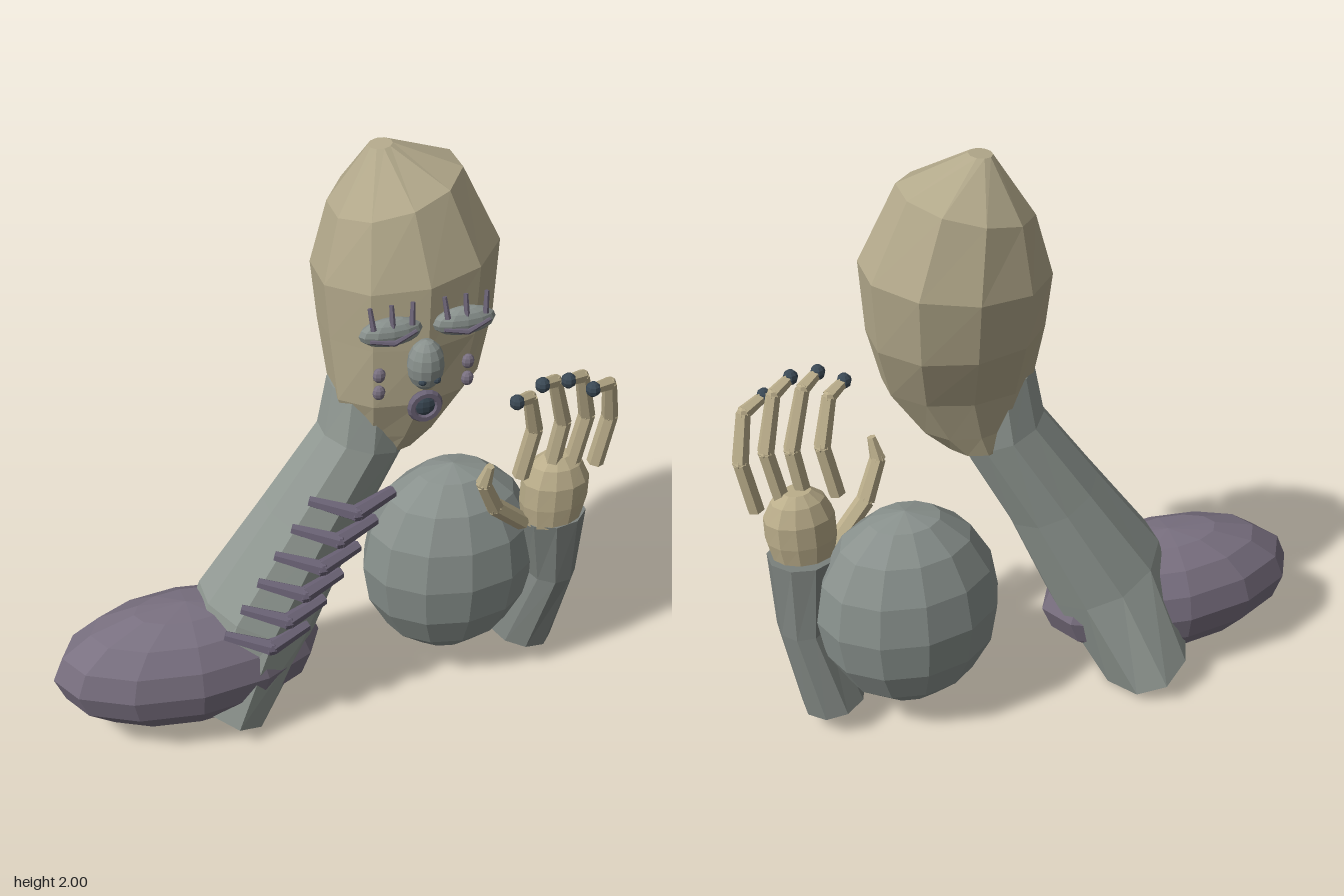
import * as THREE from 'three';
import { mergeGeometries } from 'three/addons/utils/BufferGeometryUtils.js';

const mat = (name, color) => {
  const m = new THREE.MeshStandardMaterial({ color });
  m.name = name;
  return m;
};

// Faceted normals for the low-poly look
function faceted(geo) {
  const g = geo.index ? geo.toNonIndexed() : geo;
  g.computeVertexNormals();
  return g;
}

// Skin over elliptical rings listed bottom to top: [x, y, z, rx, rz, roll]
function loft(rings, sides) {
  const pos = [], idx = [];
  for (const [x, y, z, rx, rz, roll] of rings) {
    for (let i = 0; i < sides; i++) {
      const a = ((i + 0.5) / sides) * Math.PI * 2, r = Math.cos(a) * rx;
      pos.push(x + r * Math.cos(roll), y + r * Math.sin(roll), z + Math.sin(a) * rz);
    }
  }
  for (let k = 0; k < rings.length - 1; k++) {
    for (let i = 0; i < sides; i++) {
      const j = (i + 1) % sides, b = k * sides, t = b + sides;
      idx.push(b + i, t + i, b + j, b + j, t + i, t + j);
    }
  }
  const top = (rings.length - 1) * sides;
  for (let i = 1; i < sides - 1; i++) {
    idx.push(0, i, i + 1, top, top + i + 1, top + i);
  }
  const g = new THREE.BufferGeometry();
  g.setAttribute('position', new THREE.Float32BufferAttribute(pos, 3));
  g.setIndex(idx);
  return faceted(g);
}

// Faceted ellipsoid
function blob([x, y, z], [rx, ry, rz], w = 12, h = 8) {
  return faceted(new THREE.SphereGeometry(1, w, h).scale(rx, ry, rz).translate(x, y, z));
}

// Jointed rod through points, one radius per point
function rod(points, radii, sides = 6) {
  const parts = [], up = new THREE.Vector3(0, 1, 0);
  const pts = points.map((p) => new THREE.Vector3(...p));
  for (let i = 0; i < pts.length - 1; i++) {
    const d = pts[i + 1].clone().sub(pts[i]);
    const g = new THREE.CylinderGeometry(radii[i + 1], radii[i], d.length(), sides);
    g.applyQuaternion(new THREE.Quaternion().setFromUnitVectors(up, d.normalize()));
    const c = pts[i].clone().lerp(pts[i + 1], 0.5);
    parts.push(faceted(g.translate(c.x, c.y, c.z)));
    if (i > 0) parts.push(blob(points[i], Array(3).fill(radii[i] * 0.97), 6, 4));
  }
  return mergeGeometries(parts);
}

export function createModel() {
  const root = new THREE.Group();
  root.name = 'figure';
  const skin = mat('sand skin', 0xb4aa8c);
  const handSkin = mat('hand sand', 0xbbae8b);
  const grey = mat('leg grey', 0x929a94);
  const ballGrey = mat('ball grey', 0x89918d);
  const armGrey = mat('arm grey', 0x7c827e);
  const purple = mat('dusky purple', 0x797080);
  const ribPurple = mat('rib purple', 0x6b6376);
  const dark = mat('dark slate', 0x3a4854);

  const add = (name, geo, material, parent = root) => {
    const m = new THREE.Mesh(geo, material);
    m.name = name;
    parent.add(m);
    return m;
  };
  const group = (name) => {
    const g = new THREE.Group();
    g.name = name;
    root.add(g);
    return g;
  };

  // Large masses
  add('head', loft([
    [0.175, 1.01, 0, 0.105, 0.105, 0],
    [0.2, 1.085, 0.01, 0.16, 0.125, 0],
    [0.23, 1.23, 0.02, 0.235, 0.165, 0.06],
    [0.243, 1.43, -0.015, 0.27, 0.22, 0.02],
    [0.243, 1.64, -0.03, 0.288, 0.24, 0.12],
    [0.21, 1.86, -0.04, 0.207, 0.185, 0.28],
    [0.165, 1.995, -0.04, 0.036, 0.036, 0.1],
  ], 10), skin);
  add('neckAndTrunk', loft([
    [-0.365, 0.082, -0.05, 0.167, 0.255, -0.52],
    [-0.24, 0.42, -0.01, 0.207, 0.195, -0.45],
    [-0.065, 0.75, 0, 0.163, 0.155, -0.45],
    [0.1, 1.04, 0.01, 0.143, 0.13, -0.3],
    [0.12, 1.24, 0.01, 0.128, 0.11, -0.05],
  ], 10), grey);
  add('foot', blob([-0.48, 0.27, 0], [0.443, 0.222, 0.222]), purple);
  add('belly', blob([0.43, 0.455, -0.04], [0.3, 0.365, 0.225]), ballGrey);

  // Chevron ribs down the front of the trunk
  const ribs = group('ribs');
  for (let i = 0; i < 6; i++) {
    const x = 0.025 - i * 0.056, y = 0.88 - i * 0.094;
    add('rib', rod([
      [x - 0.135, y + 0.038, 0.15], [x, y, 0.205], [x + 0.135, y + 0.017, 0.15],
    ], [0.017, 0.027, 0.02]), ribPurple, ribs);
  }

  // Face
  const face = group('face');
  for (const x of [0.113, 0.338]) {
    add('eye', blob([x, 1.535, 0.235], [0.097, 0.045, 0.035]), ballGrey, face);
    add('eyelidCrease', rod([
      [x - 0.07, 1.528, 0.262], [x, 1.517, 0.272], [x + 0.07, 1.542, 0.262],
    ], [0.006, 0.009, 0.006]), ribPurple, face);
    for (const d of [-0.058, 0, 0.058]) {
      add('eyelash', rod([
        [x + d, 1.56, 0.255], [x + d * 1.12, 1.625, 0.238],
      ], [0.009, 0.007]), ribPurple, face);
    }
  }
  add('nose', blob([0.218, 1.415, 0.25], [0.057, 0.083, 0.05]), ballGrey, face);
  for (const x of [0.197, 0.241]) {
    add('nostril', blob([x, 1.377, 0.286], [0.013, 0.011, 0.011], 8, 6), dark, face);
  }
  for (const x of [0.085, 0.361]) {
    for (const y of [1.382, 1.322]) {
      add('cheekSpot', blob([x, y, 0.222], [0.02, 0.024, 0.016], 8, 6), purple, face);
    }
  }
  const lips = add('lips', faceted(new THREE.TorusGeometry(0.042, 0.014, 6, 16)), ribPurple, face);
  lips.position.set(0.233, 1.243, 0.215);
  add('mouth', blob([0.233, 1.243, 0.212], [0.036, 0.036, 0.015], 10, 6), dark, face);

  // Forearm
  add('forearm', loft([
    [0.683, 0.098, 0.005, 0.107, 0.108, -0.22],
    [0.753, 0.39, 0.055, 0.086, 0.095, -0.08],
    [0.736, 0.645, 0.078, 0.113, 0.097, 0.05],
  ], 9), armGrey);

  // Hand
  const hand = group('hand');
  add('palm', loft([
    [0.73, 0.635, 0.09, 0.1, 0.078, 0.05],
    [0.732, 0.71, 0.09, 0.114, 0.085, 0.03],
    [0.734, 0.79, 0.09, 0.113, 0.083, 0],
    [0.734, 0.85, 0.09, 0.085, 0.062, 0],
    [0.734, 0.882, 0.09, 0.045, 0.035, 0],
  ], 12), handSkin, hand);
  const fingers = [
    [[0.605, 0.83], [0.64, 1.01], [0.6, 1.16], [0.54, 1.18]],
    [[0.71, 0.85], [0.735, 1.02], [0.68, 1.205], [0.62, 1.228]],
    [[0.78, 0.85], [0.815, 1.03], [0.77, 1.205], [0.705, 1.228]],
    [[0.862, 0.83], [0.895, 1.01], [0.865, 1.16], [0.79, 1.18]],
  ];
  const depth = [0.105, 0.112, 0.15, 0.192];
  for (const f of fingers) {
    const path = f.map(([x, y], i) => [x, y, depth[i]]);
    add('finger', rod(path, [0.028, 0.027, 0.023, 0.018]), handSkin, hand);
    add('fingertip', blob(path[3], [0.024, 0.025, 0.024], 8, 6), dark, hand);
  }
  add('thumb', rod([
    [0.625, 0.64, 0.1], [0.508, 0.755, 0.14], [0.452, 0.88, 0.175], [0.465, 0.955, 0.19],
  ], [0.03, 0.03, 0.026, 0.014]), handSkin, hand);

  return root;
}
